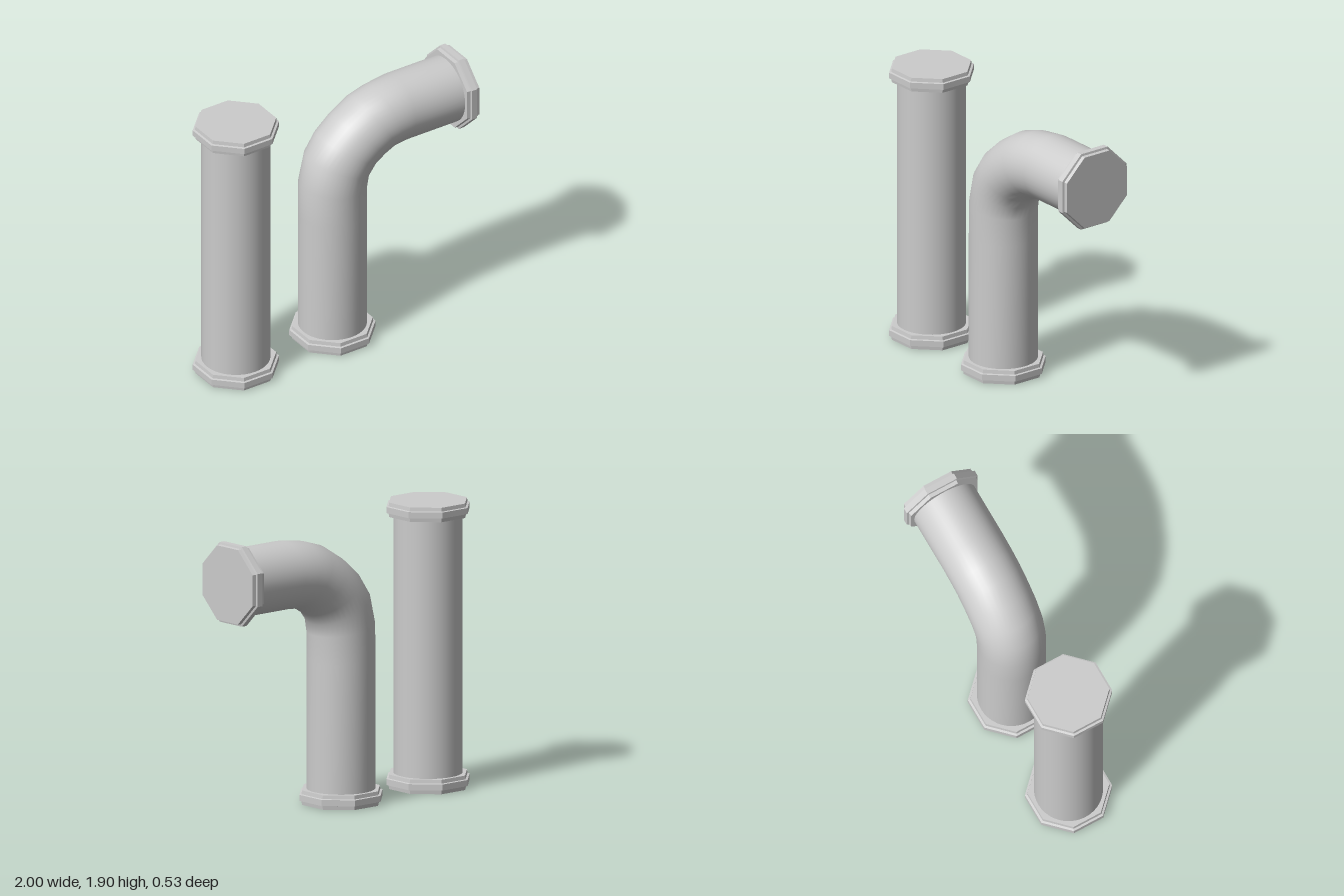
import * as THREE from 'three';

const RADIUS = 0.225;
const smooth = new THREE.MeshStandardMaterial({ color: 0xcccccc });
const faceted = new THREE.MeshStandardMaterial({ color: 0xcccccc, flatShading: true });

// Octagonal end flange: closed stepped profile, flats facing the axes
function makeFlange(name) {
  const k = 1 / Math.cos(Math.PI / 8);
  const profile = [
    [0, 0], [0.247, 0], [0.25, 0.025], [0.264, 0.028],
    [0.264, 0.068], [0.25, 0.071], [0.247, 0.096], [0, 0.096],
  ].map(([r, y]) => new THREE.Vector2(r * k, y));
  const mesh = new THREE.Mesh(new THREE.LatheGeometry(profile, 8, Math.PI / 8), faceted);
  mesh.name = name;
  return mesh;
}

// Tube skinned over circular rings given as [x, y, tilt in degrees]
function makeBentTube(rings, sides = 40) {
  const positions = [];
  const index = [];
  rings.forEach(([x, y, tilt], i) => {
    const t = THREE.MathUtils.degToRad(tilt);
    for (let j = 0; j < sides; j++) {
      const a = (j / sides) * Math.PI * 2;
      const r = RADIUS * Math.cos(a);
      positions.push(x + r * Math.cos(t), y - r * Math.sin(t), RADIUS * Math.sin(a));
      if (i === 0) continue;
      const next = (j + 1) % sides;
      const low = (i - 1) * sides;
      const high = i * sides;
      index.push(low + j, high + j, low + next, high + j, high + next, low + next);
    }
  });
  const geometry = new THREE.BufferGeometry();
  geometry.setAttribute('position', new THREE.Float32BufferAttribute(positions, 3));
  geometry.setIndex(index);
  geometry.computeVertexNormals();
  return geometry;
}

export function createModel() {
  const model = new THREE.Group();
  model.name = 'pipes';

  // Straight upright pipe with a flange at each end
  const straight = new THREE.Group();
  straight.name = 'straightPipe';
  straight.position.x = -0.736;
  const shaft = new THREE.Mesh(new THREE.CylinderGeometry(RADIUS, RADIUS, 1.8, 40, 1, true), smooth);
  shaft.name = 'straightTube';
  shaft.position.y = 0.95;
  const topFlange = makeFlange('topFlange');
  topFlange.position.y = 1.9 - 0.096;
  straight.add(shaft, makeFlange('bottomFlange'), topFlange);

  // Elbow pipe: rises, then turns towards +x
  const elbow = new THREE.Group();
  elbow.name = 'elbowPipe';
  const tube = new THREE.Mesh(makeBentTube([
    [0.018, 0.05, 0], [0.018, 0.95, 0], [0.02, 1.165, 8], [0.05, 1.305, 24],
    [0.12, 1.405, 34], [0.215, 1.48, 45], [0.32, 1.54, 59],
    [0.41, 1.562, 72], [0.52, 1.577, 90], [0.95, 1.577, 90],
  ]), smooth);
  tube.name = 'elbowTube';
  const base = makeFlange('baseFlange');
  base.position.x = 0.018;
  const outlet = makeFlange('outletFlange');
  outlet.rotation.z = -Math.PI / 2;
  outlet.position.set(1 - 0.096, 1.577, 0);
  elbow.add(tube, base, outlet);

  model.add(straight, elbow);
  return model;
}
